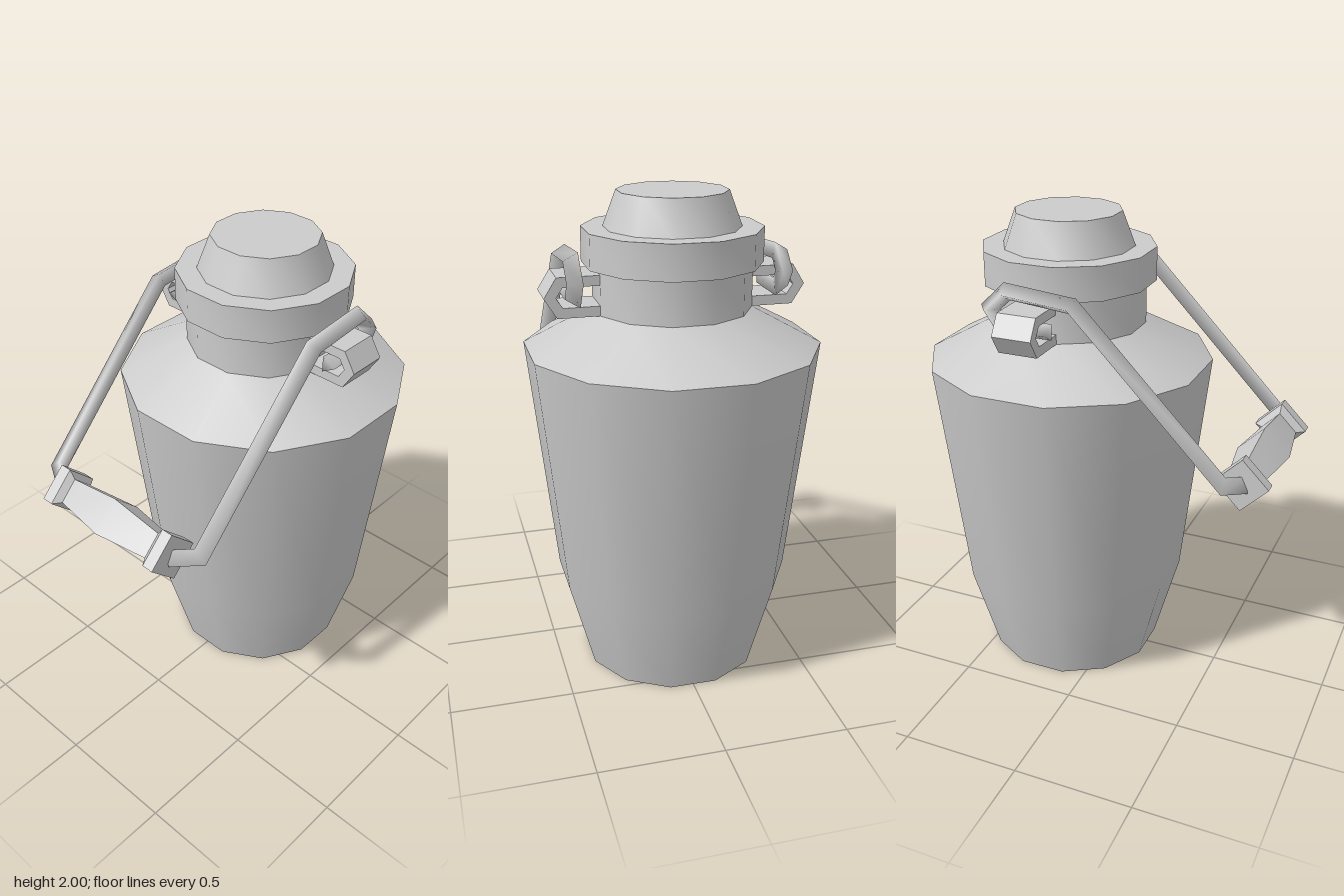
import * as THREE from 'three';
import { toCreasedNormals } from 'three/addons/utils/BufferGeometryUtils.js';

const material = new THREE.MeshStandardMaterial({ color: 0xcccccc });
const CENTER_X = 0.195;

function addMesh(parent, name, geometry) {
  const mesh = new THREE.Mesh(geometry, material);
  mesh.name = name;
  parent.add(mesh);
  return mesh;
}

// Turned part; profile is [radius, height] from bottom to top
function turned(profile, sides, phi, crease) {
  const points = profile.map(([r, y]) => new THREE.Vector2(r, y));
  return toCreasedNormals(new THREE.LatheGeometry(points, sides, phi), crease);
}

// Twelve-sided part with flats facing the axes; radii are measured to the flats
function twelveSided(profile) {
  const k = 1 / Math.cos(Math.PI / 12);
  return turned(profile.map(([r, y]) => [r * k, y]), 12, Math.PI / 12, 0.7);
}

// Sweep a polygon along a path with mitred corners; the first segment runs along +x
function mitredRod(path, radius, sides, startAngle) {
  const n = path.length;
  const dirs = path.slice(1).map((p, i) => p.clone().sub(path[i]).normalize());
  let ring = [];
  for (let j = 0; j < sides; j++) {
    const a = startAngle + (j / sides) * Math.PI * 2;
    ring.push(new THREE.Vector3(0, Math.cos(a) * radius, Math.sin(a) * radius).add(path[0]));
  }
  const positions = [];
  const index = [];
  path.forEach((p, i) => {
    if (i > 0) {
      const d = dirs[i - 1];
      const normal = d.clone().add(dirs[Math.min(i, n - 2)]).normalize();
      ring = ring.map((q) => {
        const t = p.clone().sub(q).dot(normal) / d.dot(normal);
        return q.clone().addScaledVector(d, t);
      });
    }
    ring.forEach((q) => positions.push(q.x, q.y, q.z));
  });
  for (let i = 0; i < n - 1; i++) {
    for (let j = 0; j < sides; j++) {
      const a = i * sides + j;
      const b = i * sides + ((j + 1) % sides);
      index.push(a, b, a + sides, b, b + sides, a + sides);
    }
  }
  // End caps
  const last = (n - 1) * sides;
  for (let j = 1; j < sides - 1; j++) {
    index.push(0, j + 1, j, last, last + j, last + j + 1);
  }
  const geometry = new THREE.BufferGeometry();
  geometry.setAttribute('position', new THREE.Float32BufferAttribute(positions, 3));
  geometry.setIndex(index);
  geometry.computeVertexNormals();
  return geometry;
}

// Bent strap that holds one end of the handle; side is +1 front, -1 back
function strap(side) {
  const outline = [
    [0.28, 1.54], [0.475, 1.54], [0.525, 1.62], [0.475, 1.7], [0.28, 1.7],
    [0.28, 1.66], [0.452, 1.66], [0.478, 1.62], [0.452, 1.58], [0.28, 1.58],
  ];
  const shape = new THREE.Shape(outline.map(([x, y]) => new THREE.Vector2(x, y)));
  const geometry = new THREE.ExtrudeGeometry(shape, { depth: 0.165, bevelEnabled: false });
  geometry.translate(0, 0, -0.0825);
  geometry.rotateY((-side * Math.PI) / 2);
  geometry.translate(CENTER_X, 0, 0);
  return geometry;
}

export function createModel() {
  const model = new THREE.Group();
  model.name = 'milkCan';

  // Can body with shoulder and neck
  const body = addMesh(model, 'body', twelveSided([
    [0, 0], [0.365, 0], [0.47, 0.39], [0.58, 1.39], [0.307, 1.54], [0.307, 1.72], [0, 1.72],
  ]));
  body.position.x = CENTER_X;

  // Stepped lid
  const lid = addMesh(model, 'lid', twelveSided([
    [0, 1.72], [0.347, 1.72], [0.347, 1.86], [0.263, 1.86], [0.212, 2], [0, 2],
  ]));
  lid.position.x = CENTER_X;

  // Swinging handle: two hooked rods through straps, joined by a grip
  const handle = new THREE.Group();
  handle.name = 'handle';
  model.add(handle);
  for (const side of [1, -1]) {
    const label = side > 0 ? 'front' : 'back';
    addMesh(model, label + 'Strap', strap(side));
    const path = [
      [0.09, 1.62, 0.41], [0.3, 1.62, 0.41], [0.348, 1.69, 0.41], [0.275, 1.76, 0.41],
      [0, 1.735, 0.41], [-0.61, 1.11, 0.41], [-0.67, 1.075, 0.3],
    ].map(([x, y, z]) => new THREE.Vector3(x, y, z * side));
    addMesh(handle, label + 'Rod', mitredRod(path, 0.038, 3, (side * Math.PI) / 2));
  }

  // Four-sided grip with collars
  const grip = addMesh(handle, 'grip', turned([
    [0, -0.315], [0.11, -0.315], [0.11, -0.265], [0.075, -0.24], [0.11, 0],
    [0.075, 0.24], [0.11, 0.265], [0.11, 0.315], [0, 0.315],
  ], 4, 0, 0.5));
  grip.rotation.x = Math.PI / 2;
  grip.position.set(-0.665, 1.08, 0);

  return model;
}
